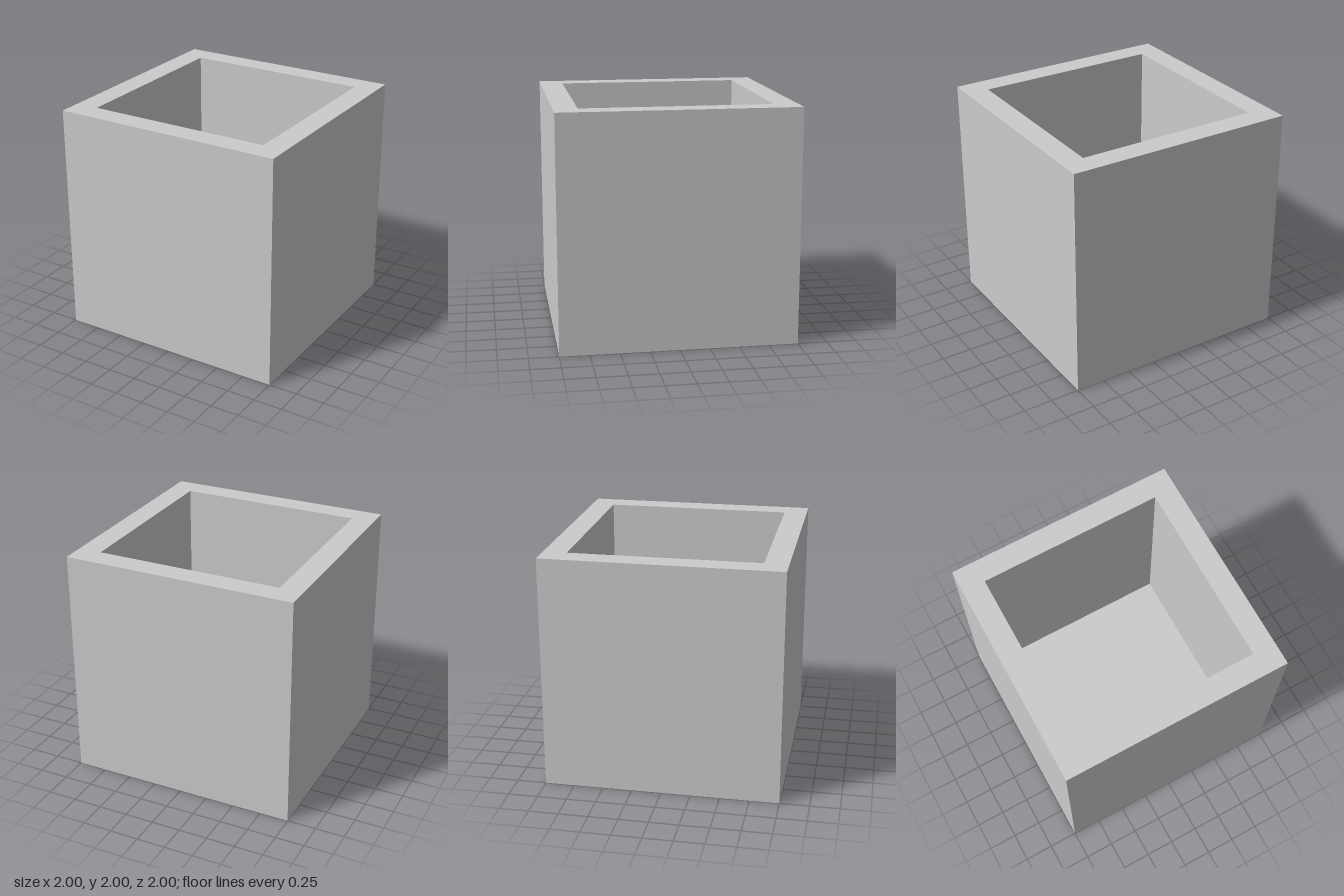
import * as THREE from 'three';

const HALF = 1, HEIGHT = 2, WALL = 0.2, FLOOR = 0.2;

export function createModel() {
  const group = new THREE.Group();
  group.name = 'openBox';

  // Half section of the box, swept round four corners: underside, outer wall, rim, inner wall, floor
  const inner = HALF - WALL;
  const profile = [
    [0, 0], [HALF, 0], [HALF, HEIGHT], [inner, HEIGHT], [inner, FLOOR], [0, FLOOR],
  ].map(([x, y]) => new THREE.Vector2(x * Math.SQRT2, y));

  // Starting at 45 degrees squares the sides to the axes
  const geometry = new THREE.LatheGeometry(profile, 4, Math.PI / 4).toNonIndexed();
  geometry.computeVertexNormals();

  const box = new THREE.Mesh(
    geometry,
    new THREE.MeshStandardMaterial({ color: 0xcccccc, flatShading: true }),
  );
  box.name = 'hollowBox';
  group.add(box);
  return group;
}
